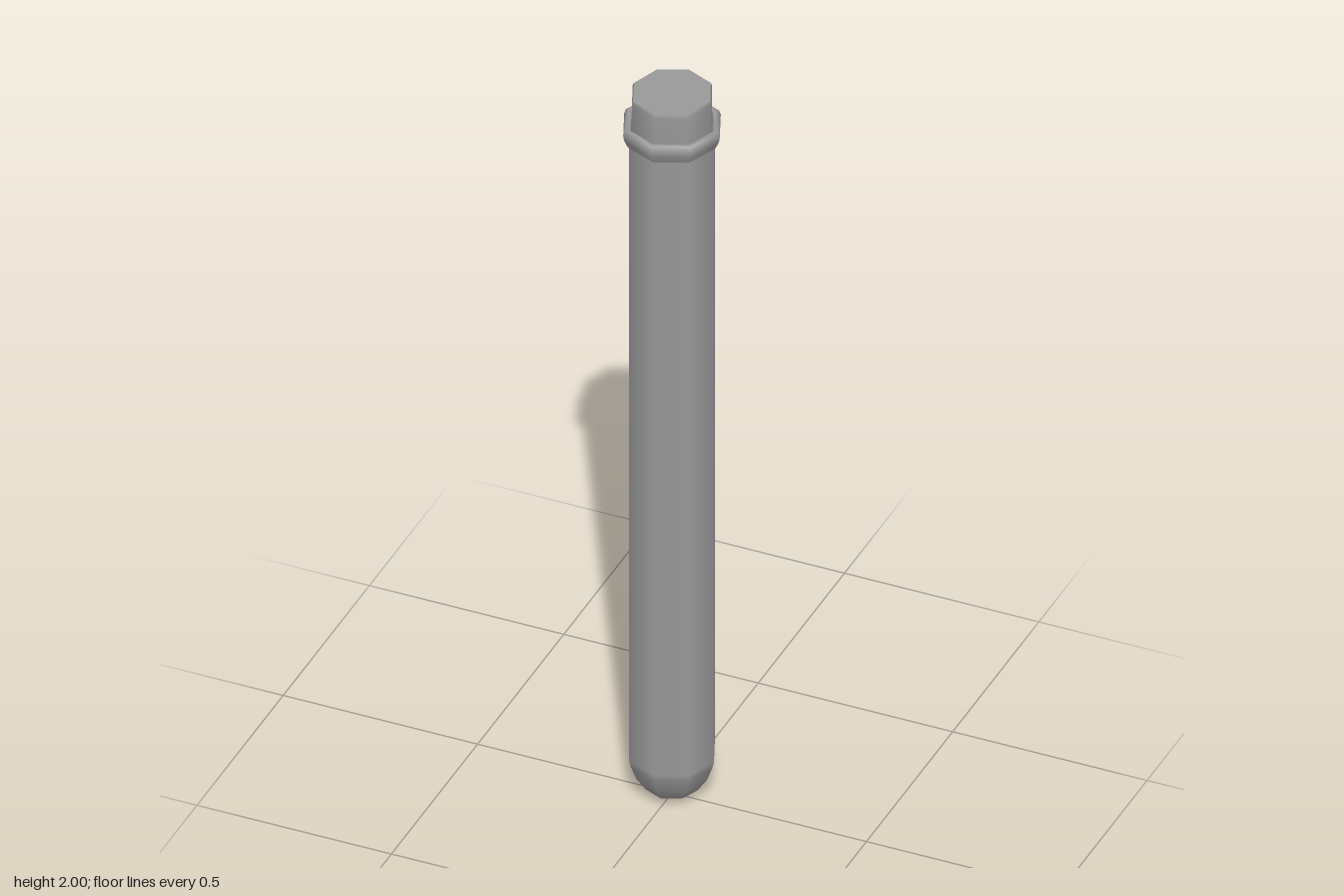
import * as THREE from 'three';

const SIDES = 8;

// Turn a [radius, height] profile around the y axis; a repeated point makes a crease
function turned(name, profile) {
  const points = profile.map(([r, y]) => new THREE.Vector2(r, y));
  const material = new THREE.MeshStandardMaterial({ color: 0x999999, side: THREE.DoubleSide });
  const mesh = new THREE.Mesh(new THREE.LatheGeometry(points, SIDES), material);
  mesh.name = name;
  return mesh;
}

export function createModel() {
  const group = new THREE.Group();
  group.name = 'stopperedTube';

  // Tube: rounded bottom, straight wall, rolled lip, then the inner wall back down
  const tube = turned('tube', [
    [0, 0], [0.035, 0.01], [0.066, 0.026], [0.09, 0.062], [0.104, 0.1], [0.108, 0.118],
    [0.108, 1.862], [0.113, 1.87], [0.121, 1.888], [0.123, 1.902], [0.119, 1.915],
    [0.111, 1.918], [0.104, 1.912], [0.104, 1.912], [0.102, 1.88],
    [0.102, 0.13], [0.085, 0.07], [0.06, 0.036], [0, 0.012],
  ]);

  // Stopper: plug with a small bevel and a flat top
  const stopper = turned('stopper', [
    [0, 1.78], [0.094, 1.78], [0.094, 1.78], [0.101, 1.9], [0.101, 1.988],
    [0.098, 1.996], [0.098, 1.996], [0, 1.996],
  ]);
  // The top leans up slightly towards the back
  const pos = stopper.geometry.attributes.position;
  for (let i = 0; i < pos.count; i++) {
    if (pos.getY(i) > 1.95) pos.setY(i, pos.getY(i) - pos.getZ(i) * 0.04);
  }

  group.add(tube, stopper);
  return group;
}
